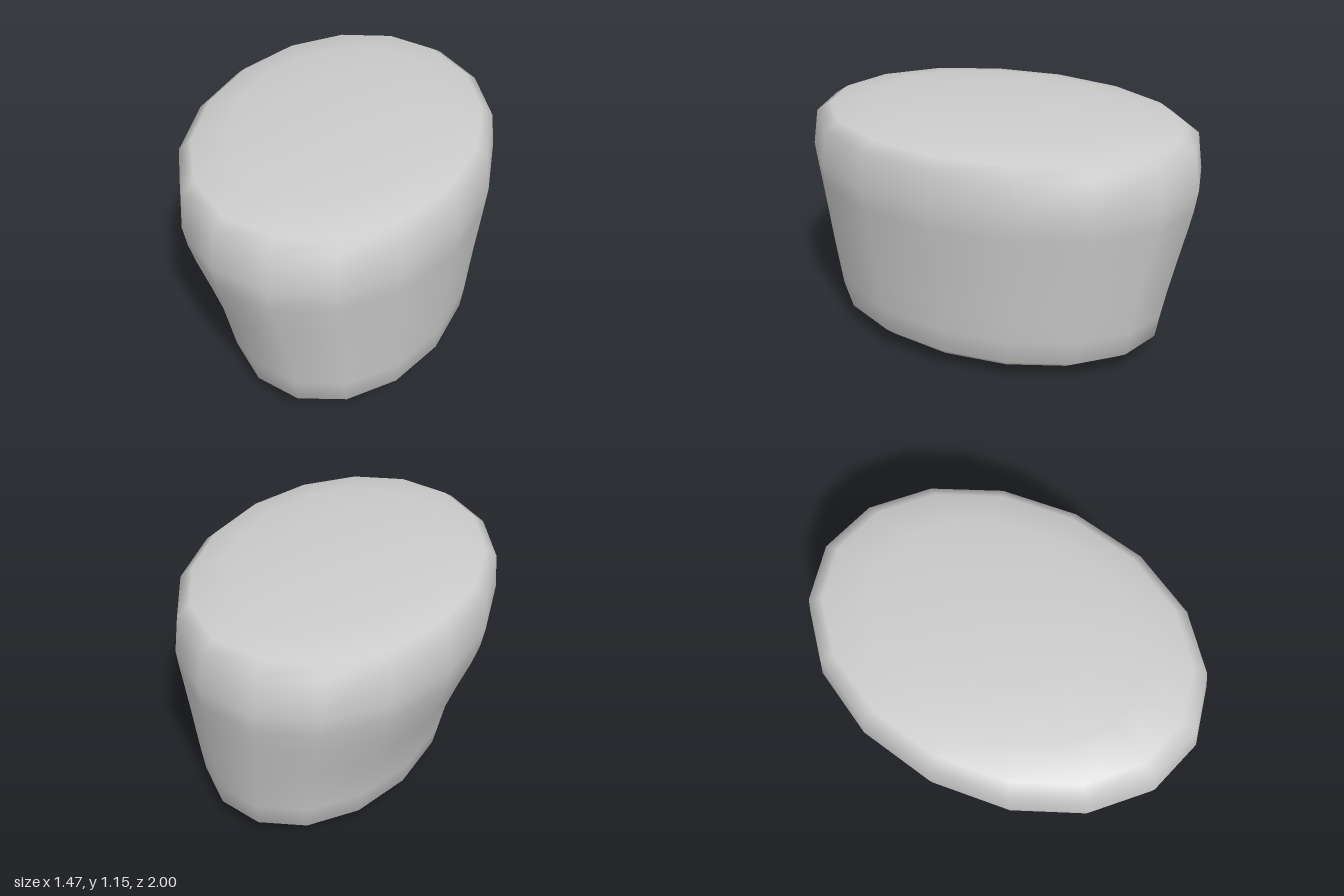
import * as THREE from 'three';

const SIDES = 16;

// Elliptical cross-sections: [height, x of right edge, x of left edge, half depth]
const wall = [
  [0.10, -0.51, 0.645, 0.858],
  [0.22, -0.537, 0.661, 0.878],
  [0.35, -0.565, 0.674, 0.902],
  [0.50, -0.62, 0.69, 0.932],
  [0.65, -0.68, 0.708, 0.963],
  [0.76, -0.715, 0.721, 0.985],
  [0.865, -0.735, 0.733, 1.0],
  [1.04, -0.725, 0.715, 0.973],
];

// Shallow domes: [share of the end ring, height], from the pole outwards
const bottomDome = [[0, 0], [0.383, 0.01], [0.707, 0.028], [0.924, 0.06]];
const topDome = [[0, 1.15], [0.383, 1.145], [0.707, 1.123], [0.924, 1.088]];

const toRing = ([y, x0, x1, rz]) => ({ y, cx: (x0 + x1) / 2, rx: (x1 - x0) / 2, rz });
const domeRing = (end) => ([s, y]) => ({ y, cx: end.cx, rx: end.rx * s, rz: end.rz * s });

function loft(rings) {
  const positions = [];
  const index = [];
  const first = rings[0];
  const last = rings[rings.length - 1];
  const body = rings.slice(1, -1);
  positions.push(first.cx, first.y, 0);
  for (const r of body) {
    for (let i = 0; i < SIDES; i++) {
      const a = (i / SIDES) * Math.PI * 2;
      positions.push(r.cx + r.rx * Math.sin(a), r.y, r.rz * Math.cos(a));
    }
  }
  positions.push(last.cx, last.y, 0);
  const top = positions.length / 3 - 1;
  const at = (ring, i) => 1 + ring * SIDES + (i % SIDES);
  for (let i = 0; i < SIDES; i++) {
    index.push(0, at(0, i + 1), at(0, i));
    for (let k = 0; k < body.length - 1; k++) {
      index.push(at(k, i), at(k, i + 1), at(k + 1, i + 1));
      index.push(at(k, i), at(k + 1, i + 1), at(k + 1, i));
    }
    index.push(at(body.length - 1, i), at(body.length - 1, i + 1), top);
  }
  const geometry = new THREE.BufferGeometry();
  geometry.setAttribute('position', new THREE.Float32BufferAttribute(positions, 3));
  geometry.setIndex(index);
  geometry.computeVertexNormals();
  return geometry;
}

export function createModel() {
  const group = new THREE.Group();
  group.name = 'roundedBlock';

  // One closed, smooth oval body, leaning out on one side
  const walls = wall.map(toRing);
  const rings = [
    ...bottomDome.map(domeRing(walls[0])),
    ...walls,
    ...topDome.map(domeRing(walls[walls.length - 1])).reverse(),
  ];
  const body = new THREE.Mesh(loft(rings), new THREE.MeshStandardMaterial({ color: 0xcccccc }));
  body.name = 'body';
  group.add(body);
  return group;
}
